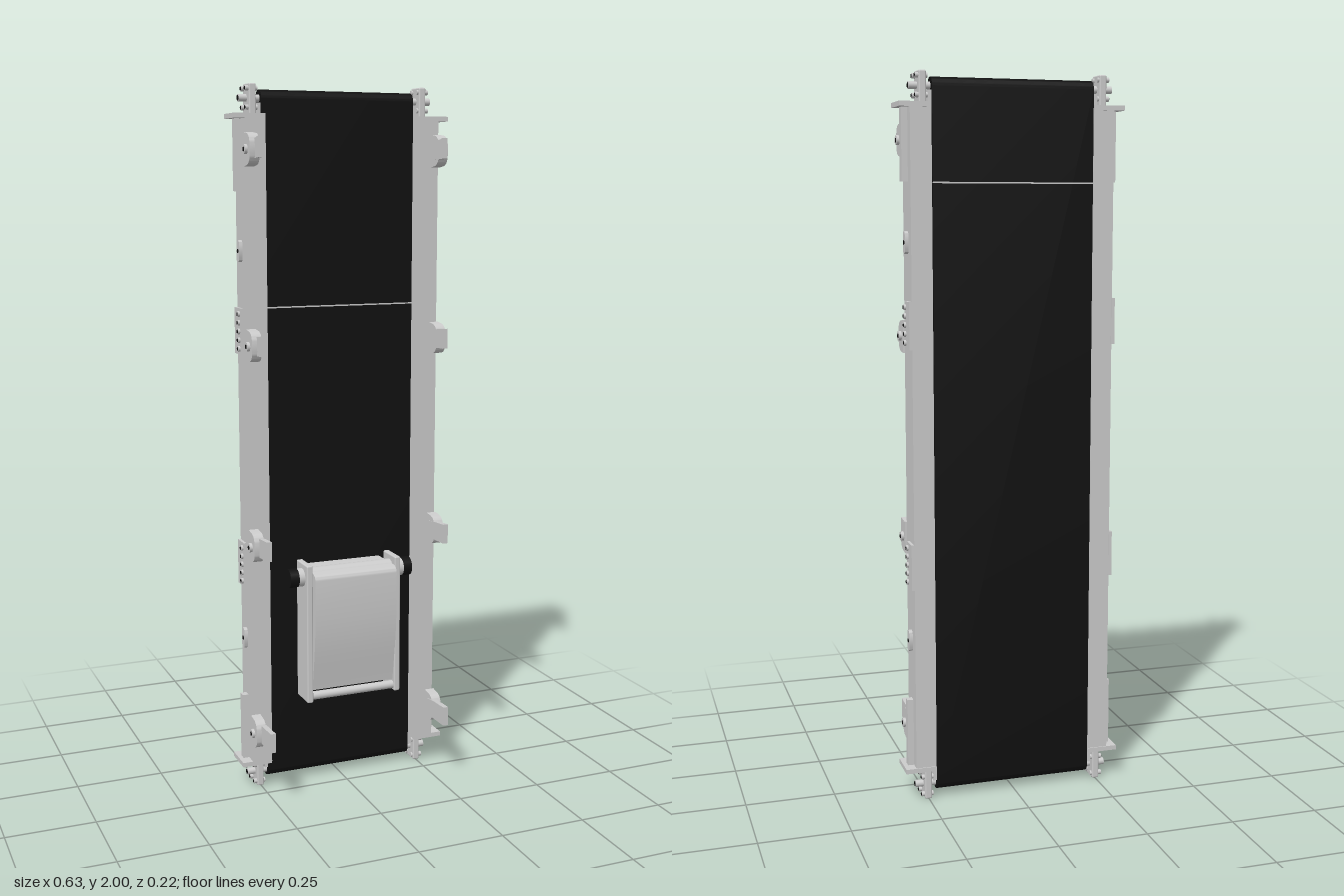
import * as THREE from 'three';
import { RoundedBoxGeometry } from 'three/addons/geometries/RoundedBoxGeometry.js';
import { toCreasedNormals } from 'three/addons/utils/BufferGeometryUtils.js';

const grey = new THREE.MeshStandardMaterial({ color: 0xcccccc });
const black = new THREE.MeshStandardMaterial({ color: 0x111111 });

export function createModel() {
  const model = new THREE.Group();

  const add = (name, geometry, material = grey) => {
    const mesh = new THREE.Mesh(geometry, material);
    mesh.name = name;
    model.add(mesh);
    return mesh;
  };
  // box centred on x, spanning the given y and z ranges
  const box = (name, x, w, y0, y1, z0, z1, material) =>
    add(name, new THREE.BoxGeometry(w, y1 - y0, z1 - z0), material)
      .position.set(x, (y0 + y1) / 2, (z0 + z1) / 2);
  // cylinder lying along x
  const rod = (name, x, w, y, z, r, material, sides = 20) =>
    add(name, new THREE.CylinderGeometry(r, r, w, sides).rotateZ(Math.PI / 2), material)
      .position.set(x, y, z);
  // side profile in (z, y), extruded along x and centred there
  const profile = (name, x, w, shape, material) => {
    const g = new THREE.ExtrudeGeometry(shape, { depth: w, bevelEnabled: false, curveSegments: 12 });
    g.rotateY(-Math.PI / 2).translate(w / 2, 0, 0);
    const mesh = add(name, toCreasedNormals(g, 0.6), material);
    mesh.position.x = x;
    return mesh;
  };
  // upright slot outline with round ends
  const slot = (z, y0, y1, r) => {
    const s = new THREE.Shape();
    s.absarc(z, y1 - r, r, 0, Math.PI, false);
    s.absarc(z, y0 + r, r, Math.PI, Math.PI * 2, false);
    return s;
  };

  // Belt and its seams
  profile('belt', 0, 0.45, slot(-0.084, 0.02, 1.985, 0.024), black);
  box('frontSeam', 0, 0.45, 1.396, 1.4, -0.062, -0.0595);
  box('backSeam', 0, 0.45, 1.71, 1.714, -0.1085, -0.106);

  // Clamp outline, wide at the rail and round at the tip
  const clamp = new THREE.Shape();
  clamp.moveTo(-0.02, -0.045);
  clamp.lineTo(0.005, -0.042);
  clamp.quadraticCurveTo(0.03, -0.038, 0.032, -0.012);
  clamp.lineTo(0.032, 0.012);
  clamp.quadraticCurveTo(0.03, 0.038, 0.005, 0.042);
  clamp.lineTo(-0.02, 0.045);

  for (const s of [-1, 1]) {
    box('sideRail', s * 0.256, 0.058, 0.085, 1.92, -0.107, -0.02);
    box('belt' + 'Lip', s * 0.231, 0.01, 0.05, 1.95, -0.104, -0.062);

    // Ends: flanges, stiffening strips, bearing plates and roller shafts
    for (const top of [0, 1]) {
      const at = (y) => (top ? 2 - y : y);
      const span = (a, b) => (top ? [2 - b, 2 - a] : [a, b]);
      box('endFlange', s * 0.271, 0.087, ...span(0.08, 0.093), -0.11, -0.02);
      box('endStrip', s * 0.293, 0.018, ...span(0.093, 0.285), -0.078, -0.056);

      const plate = add('bearingPlate', new RoundedBoxGeometry(0.02, 0.085, 0.056, 2, 0.004));
      plate.position.set(s * 0.251, at(0.0425), -0.082);
      rod('rollerShaft', s * 0.253, 0.062, at(0.038), -0.082, 0.01);
      rod('shaftSocket', s * 0.2845, 0.001, at(0.038), -0.082, 0.007, black);
      for (const dy of [-0.025, 0.025])
        for (const dz of [-0.018, 0.018]) {
          rod('plateBolt', s * 0.253, 0.034, at(0.038) + dy, -0.082 + dz, 0.007, grey, 12);
          rod('boltSocket', s * 0.2705, 0.001, at(0.038) + dy, -0.082 + dz, 0.005, black, 8);
        }
    }

    // Splice plates with a row of bolts
    for (const y of [1.335, 0.672]) {
      box('splicePlate', s * 0.288, 0.01, y - 0.064, y + 0.064, -0.109, -0.055);
      for (let i = -2; i <= 2; i++) {
        rod('spliceBolt', s * 0.295, 0.008, y + i * 0.024, -0.067, 0.008, grey, 12);
        rod('boltSocket', s * 0.2995, 0.001, y + i * 0.024, -0.067, 0.005, black, 8);
      }
    }

    // Oval bosses
    for (const y of [1.555, 0.455]) {
      profile('ovalBoss', s * 0.289, 0.012, slot(-0.066, y - 0.03, y + 0.03, 0.012));
      rod('bossBolt', s * 0.2955, 0.001, y, -0.066, 0.006, black, 12);
    }

    // Guide clamps, with arms of growing reach towards the foot
    for (const [y, reach] of [[1.825, 0.058], [1.3, 0.075], [0.738, 0.093], [0.19, 0.111]]) {
      profile('guideClamp', s * 0.276, 0.028, clamp).position.y = y;
      const arm = new THREE.Shape([[0.0, -0.025], [reach, -0.022], [reach, 0.034], [0.04, 0.03], [0.0, 0.025]]
        .map(([z, h]) => new THREE.Vector2(z, h)));
      profile('guideArm', s * 0.268, 0.015, arm).position.y = y;
      rod('clampPin', s * 0.291, 0.014, y, 0.004, 0.013);
      rod('pinSocket', s * 0.2985, 0.001, y, 0.004, 0.006, black, 12);
    }

    // Drive unit: cheek plates and roller caps
    const cheek = add('cheekPlate', new RoundedBoxGeometry(0.018, 0.405, 0.085, 2, 0.004));
    cheek.position.set(s * 0.135, 0.478, 0.013);
    rod('rollerCap', s * 0.174, 0.026, 0.64, 0.016, 0.027, black);
  }

  // Drive unit: curved cover, upper roller and lower rod
  const cover = new THREE.Shape();
  cover.moveTo(-0.06, 0.31);
  cover.lineTo(0.045, 0.31);
  cover.bezierCurveTo(0.058, 0.4, 0.07, 0.45, 0.071, 0.55);
  cover.lineTo(0.071, 0.635);
  cover.quadraticCurveTo(0.071, 0.655, 0.05, 0.657);
  cover.lineTo(-0.06, 0.657);
  profile('driveCover', 0, 0.25, cover);
  rod('upperRoller', 0, 0.36, 0.64, 0.016, 0.026);
  rod('lowerRod', 0, 0.27, 0.292, 0.04, 0.012);

  return model;
}
